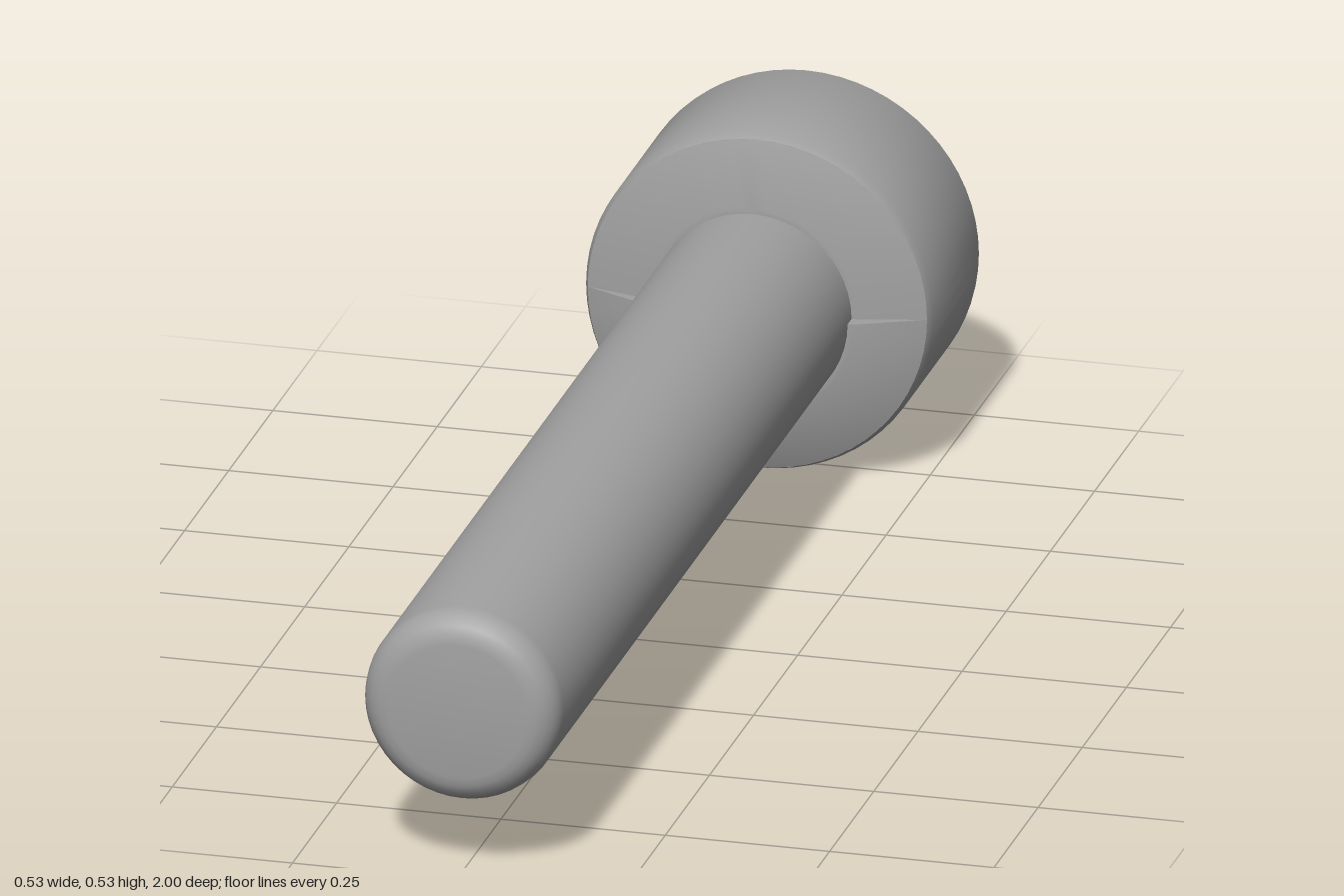
import * as THREE from 'three';
import { toCreasedNormals } from 'three/addons/utils/BufferGeometryUtils.js';

const HEAD_R = 0.264, SHAFT_R = 0.15, COLLAR_R = 0.158, SOCKET_R = 0.132;

export function createModel() {
  const group = new THREE.Group();
  const steel = new THREE.MeshStandardMaterial({ color: 0xa0a0a0 });
  steel.name = 'steel grey';
  const steelSheet = new THREE.MeshStandardMaterial({ color: 0xa0a0a0, side: THREE.DoubleSide });
  steelSheet.name = 'steel grey sheet';

  const add = (name, geometry, material = steel) => {
    const mesh = new THREE.Mesh(geometry, material);
    mesh.name = name;
    mesh.position.y = HEAD_R;
    group.add(mesh);
    return mesh;
  };
  // Turned part around the z axis; profile points are [radius, z]
  const turn = (points, segments = 48, start = 0, sweep = Math.PI * 2, crease = 0.6) => {
    const profile = points.map(([r, z]) => new THREE.Vector2(r, z));
    const g = new THREE.LatheGeometry(profile, segments, start, sweep).rotateX(Math.PI / 2);
    return toCreasedNormals(g, crease);
  };
  // Rounded corner between two axis-aligned directions of a profile
  const corner = (r, z, radius, from, to, steps = 5) =>
    Array.from({ length: steps + 1 }, (_, i) => {
      const a = from + (to - from) * i / steps;
      return [r + radius * Math.cos(a), z + radius * Math.sin(a)];
    });

  // Shaft with a rounded tip
  add('shaft', turn([
    [SHAFT_R, -0.75], ...corner(SHAFT_R - 0.045, 0.955, 0.045, 0, Math.PI / 2), [0, 1],
  ]));

  // Cylindrical head with a rounded rear rim and a slight front bevel
  add('head', turn([
    ...corner(HEAD_R - 0.03, -0.97, 0.03, -Math.PI / 2, 0),
    [HEAD_R, -0.715], [0.258, -0.702], [0.235, -0.698],
  ], 64));

  // Sloping underside: the lower half stands further forward than the upper
  add('lowerCollar', turn(
    [[0.258, -0.702], [COLLAR_R, -0.655], [SHAFT_R, -0.655]], 24, -Math.PI / 2, Math.PI), steelSheet);
  add('upperCollar', turn(
    [[0.258, -0.702], [COLLAR_R, -0.677], [SHAFT_R, -0.677]], 24, Math.PI / 2, Math.PI), steelSheet);

  // Small ledges where the two collar halves meet
  for (const side of [1, -1]) {
    const ledge = new THREE.Shape([[0.258, -0.702], [COLLAR_R, -0.655], [SHAFT_R, -0.655],
      [SHAFT_R, -0.677], [COLLAR_R, -0.677]].map(([x, z]) => new THREE.Vector2(side * x, z)));
    add('collarLedge', new THREE.ShapeGeometry(ledge).rotateX(Math.PI / 2), steelSheet);
  }

  // Flat rear face with a diamond opening
  const face = new THREE.Shape().absarc(0, 0, HEAD_R - 0.03, 0, Math.PI * 2);
  const s = SOCKET_R;
  face.holes.push(new THREE.Path([[s, 0], [0, -s], [-s, 0], [0, s]].map(p => new THREE.Vector2(...p))));
  add('headFace', new THREE.ShapeGeometry(face, 32).rotateY(Math.PI).translate(0, 0, -1));

  // Four-sided drive socket with a chamfered lip
  add('socket', turn([[0, -0.9], [0.112, -0.9], [0.112, -0.98], [SOCKET_R, -1]], 4, 0, Math.PI * 2, 0.2));

  return group;
}
